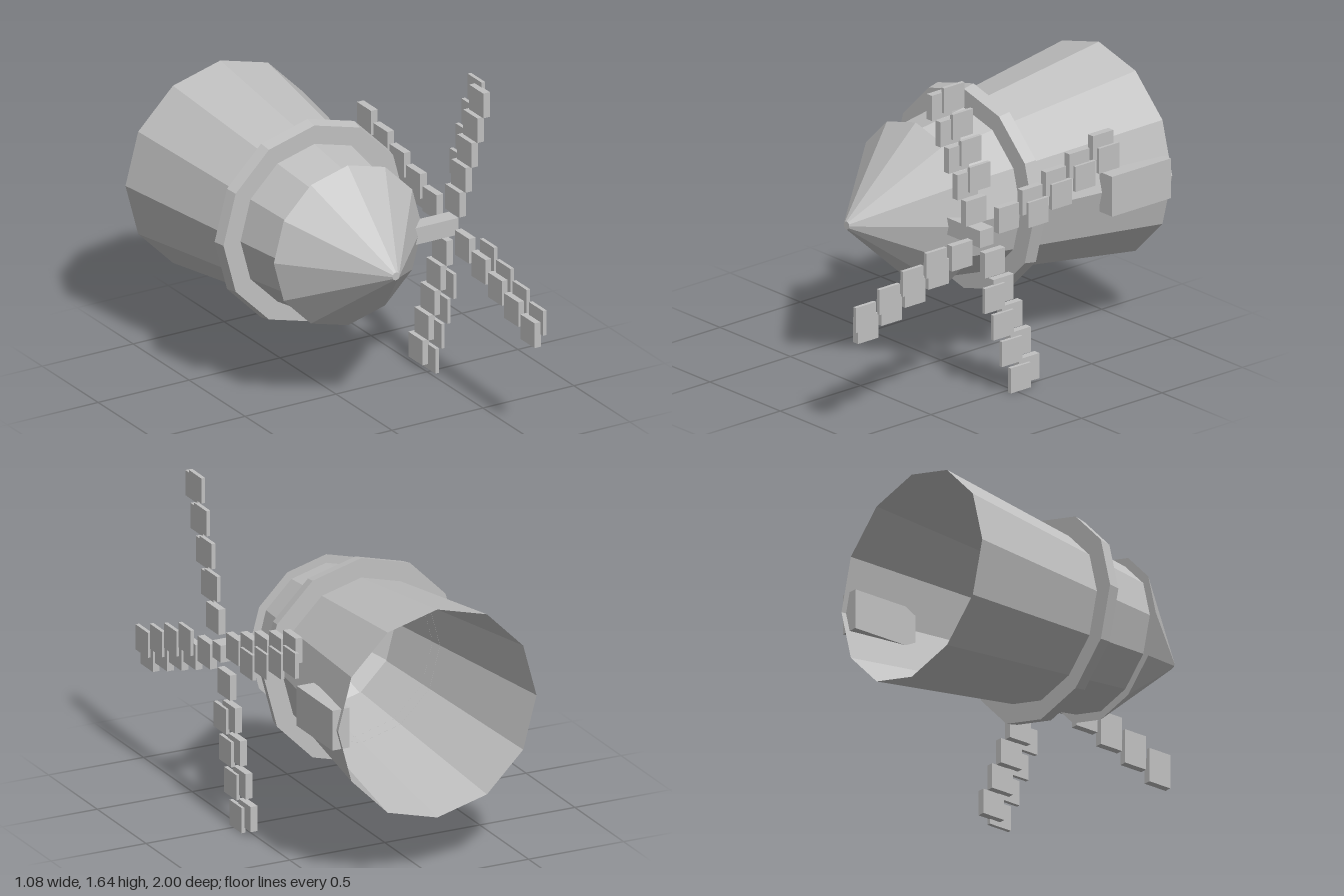
import * as THREE from 'three';

const AXIS = { x: -0.02, y: 0.82 };          // tower axis, running along z
const HUB = { y: 0.823, z: 0.183 };          // centre of the sails
const TILE = 0.126;

export function createModel() {
  const model = new THREE.Group();
  model.name = 'windmill';
  const grey = new THREE.MeshStandardMaterial({ color: 0xc0c0c0, side: THREE.DoubleSide });
  grey.name = 'grey';

  // Twelve-sided faceted shell, profile given as [radius, z]
  function shell(name, profile) {
    const points = profile.map(([r, z]) => new THREE.Vector2(r, z));
    const geometry = new THREE.LatheGeometry(points, 12).rotateX(Math.PI / 2).toNonIndexed();
    geometry.computeVertexNormals();
    const mesh = new THREE.Mesh(geometry, grey);
    mesh.name = name;
    mesh.position.set(AXIS.x, AXIS.y, 0);
    model.add(mesh);
  }

  // Box between two corners
  function box(name, min, max, parent = model) {
    const size = max.map((v, i) => v - min[i]);
    const mesh = new THREE.Mesh(new THREE.BoxGeometry(...size), grey);
    mesh.name = name;
    mesh.position.set(...max.map((v, i) => (v + min[i]) / 2));
    parent.add(mesh);
  }

  // Open tapered tower, balcony ring and pointed roof
  shell('tower', [[0.522, -1], [0.365, 0.14]]);
  shell('balcony', [[0.414, -0.22], [0.512, -0.22], [0.5, -0.16], [0.406, -0.16]]);
  shell('roof', [[0.365, 0.14], [0.408, 0.14], [0.02, 0.57], [0, 0.57]]);

  // Door and sail shaft
  box('door', [0.43, 0.72, -0.975], [0.52, 0.92, -0.61]);
  box('shaft', [0.2, 0.78, 0.14], [0.535, 0.865, 0.225]);

  // Four sails, each two offset rows of square tiles stepping in to the hub
  const rows = [
    { name: 'innerTile', count: 5, z: 0.272, y: 0.731, x0: 0.491, x1: 0.527 },
    { name: 'outerTile', count: 4, z: 0.207, y: 0.756, x0: 0.522, x1: 0.541 },
  ];
  for (let arm = 0; arm < 4; arm++) {
    const sail = new THREE.Group();
    sail.name = 'sail' + (arm + 1);
    for (const row of rows) {
      for (let i = 0; i < row.count; i++) {
        let z = row.z - 0.0535 * i;
        let y = row.y - 0.1465 * i;
        for (let turn = 0; turn < arm; turn++) [z, y] = [y, -z];
        const cy = HUB.y + y, cz = HUB.z + z, h = TILE / 2;
        box(row.name, [row.x0, cy - h, cz - h], [row.x1, cy + h, cz + h], sail);
      }
    }
    model.add(sail);
  }
  return model;
}
